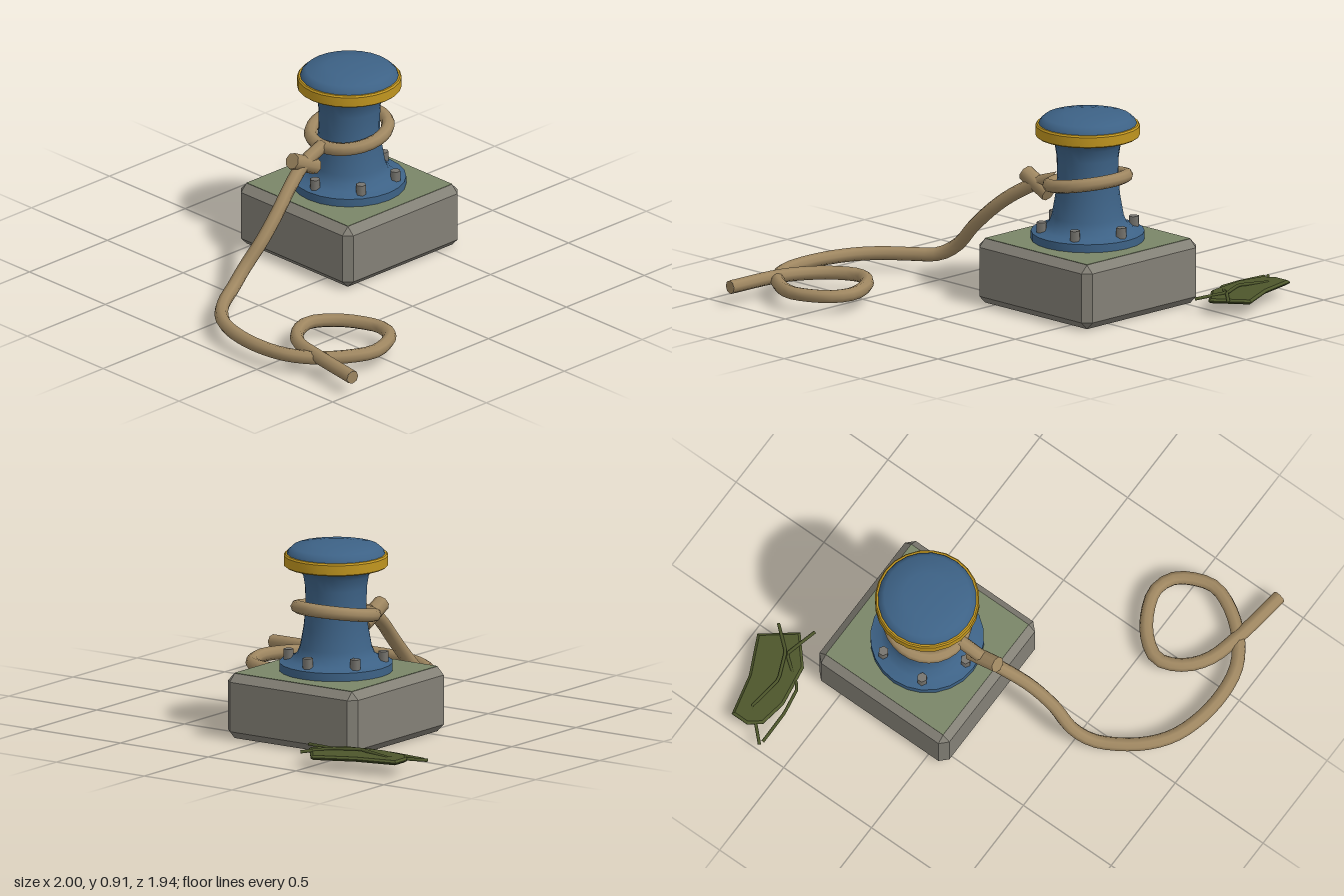
import * as THREE from 'three';
import { toCreasedNormals } from 'three/addons/utils/BufferGeometryUtils.js';
import { ConvexGeometry } from 'three/addons/geometries/ConvexGeometry.js';

const mat = (name, color) => {
  const m = new THREE.MeshStandardMaterial({ color });
  m.name = name;
  return m;
};
const V = (x, y, z) => new THREE.Vector3(x, y, z);

export function createModel() {
  const stone = mat('stone', 0x838076);
  const moss = mat('moss', 0x7a8668);
  const blue = mat('blue paint', 0x3d6286);
  const yellow = mat('yellow paint', 0xc0951f);
  const steel = mat('steel', 0x77756f);
  const hemp = mat('hemp', 0x9f8761);
  const weed = mat('weed', 0x4d562b);

  const root = new THREE.Group();
  const add = (name, geo, material, parent = root) => {
    const m = new THREE.Mesh(geo, material);
    m.name = name;
    parent.add(m);
    return m;
  };

  // Everything on the block shares its vertical axis
  const bollard = new THREE.Group();
  bollard.name = 'bollard';
  bollard.position.set(-0.195, 0, -0.27);
  root.add(bollard);

  // Chamfered stone block with a mossy top
  const W = 0.37, H = 0.1525, B = 0.036, corners = [];
  for (const x of [-1, 1]) for (const y of [-1, 1]) for (const z of [-1, 1]) {
    corners.push(
      V(x * W, y * (H - B), z * (W - B)),
      V(x * (W - B), y * H, z * (W - B)),
      V(x * (W - B), y * (H - B), z * W));
  }
  add('stoneBlock', new ConvexGeometry(corners), stone, bollard).position.y = H;
  const top = 2 * (W - B);
  add('mossTop', new THREE.BoxGeometry(top, 0.004, top), moss, bollard).position.y = 2 * H;

  // Turned post, band and cap
  const lathe = (pts) => toCreasedNormals(
    new THREE.LatheGeometry(pts.map(([r, y]) => new THREE.Vector2(r, y)), 24), 0.6);
  add('post', lathe([[0.262, 0.305], [0.262, 0.345], [0.212, 0.358], [0.18, 0.385], [0.166, 0.42],
    [0.15, 0.51], [0.141, 0.6], [0.143, 0.7], [0.152, 0.755], [0.17, 0.78], [0.225, 0.802]]), blue, bollard);
  add('band', lathe([[0.2, 0.797], [0.234, 0.797], [0.241, 0.803], [0.241, 0.848], [0.235, 0.856],
    [0.2, 0.856]]), yellow, bollard);
  add('cap', lathe([[0.227, 0.855], [0.222, 0.868], [0.2, 0.888], [0.11, 0.902], [0, 0.91]]), blue, bollard);

  // Six hex bolts around the flange
  for (let i = 0; i < 6; i++) {
    const a = i * Math.PI / 3;
    add('bolt', new THREE.CylinderGeometry(0.024, 0.024, 0.055, 6).toNonIndexed(), steel, bollard)
      .position.set(0.22 * Math.sin(a), 0.372, 0.22 * Math.cos(a));
  }

  // Rope turn round the post, tilted up at the back
  const turn = add('ropeTurn', new THREE.TorusGeometry(0.18, 0.031, 8, 28), hemp, bollard);
  turn.position.y = 0.585;
  turn.rotation.x = Math.PI / 2 + 0.18;

  // Loose rope running to the ground and ending in a loop
  const R = 0.032;
  const path = new THREE.CatmullRomCurve3([
    [-0.185, 0.56, -0.09], [-0.175, 0.515, 0.04], [-0.14, 0.44, 0.17], [-0.115, 0.37, 0.26],
    [-0.1, 0.26, 0.38], [-0.107, 0.15, 0.49], [-0.08, 0.09, 0.59], [-0.02, 0.08, 0.7],
    [0.06, 0.08, 0.8], [0.16, 0.08, 0.875], [0.29, 0.08, 0.92], [0.45, 0.08, 0.935],
    [0.6, 0.08, 0.91], [0.73, 0.078, 0.825], [0.82, 0.08, 0.71], [0.86, 0.08, 0.6],
    [0.835, 0.08, 0.5], [0.78, 0.08, 0.42], [0.69, 0.08, 0.387], [0.58, 0.08, 0.42],
    [0.48, 0.08, 0.49], [0.42, 0.08, 0.59], [0.46, 0.08, 0.7], [0.56, 0.082, 0.785],
    [0.72, 0.088, 0.83], [0.995, 0.08, 0.867]].map((p) => V(...p)));
  add('looseRope', new THREE.TubeGeometry(path, 72, R, 8), hemp);
  const end = add('ropeEnd', new THREE.CircleGeometry(R, 8), hemp);
  end.position.copy(path.getPoint(1));
  end.lookAt(path.getPoint(1).add(path.getTangent(1)));

  // Knot across the rope
  const knot = add('knot', new THREE.CylinderGeometry(0.039, 0.039, 0.165, 8), hemp);
  knot.position.set(-0.176, 0.513, 0.042);
  knot.quaternion.setFromUnitVectors(V(0, 1, 0), V(0.01, 0.44, 0.9).normalize());

  // Clump of weed: a flat leaf with two thin stems
  const outline = [[-0.935, -0.825], [-0.745, -0.87], [-0.565, -0.955], [-0.455, -0.815],
    [-0.575, -0.71], [-0.77, -0.68], [-0.895, -0.7], [-0.935, -0.75]];
  const leaf = new THREE.ExtrudeGeometry(
    new THREE.Shape(outline.map(([x, z]) => new THREE.Vector2(x, -z))),
    { depth: 0.004, bevelSize: 0.012, bevelThickness: 0.009, bevelSegments: 1 });
  leaf.rotateX(-Math.PI / 2);
  add('weedLeaf', leaf, weed).position.y = 0.061;

  const stems = [
    [[-0.99, 0.05, -0.645], [-0.86, 0.07, -0.78], [-0.69, 0.083, -0.755], [-0.56, 0.08, -0.81], [-0.465, 0.07, -0.92]],
    [[-0.97, 0.05, -0.642], [-0.8, 0.055, -0.643], [-0.665, 0.06, -0.665], [-0.565, 0.078, -0.8], [-0.4, 0.07, -0.76]]];
  for (const pts of stems) {
    const line = new THREE.CurvePath();
    for (let i = 1; i < pts.length; i++) line.add(new THREE.LineCurve3(V(...pts[i - 1]), V(...pts[i])));
    add('weedStem', new THREE.TubeGeometry(line, 24, 0.008, 5), weed);
  }

  return root;
}
